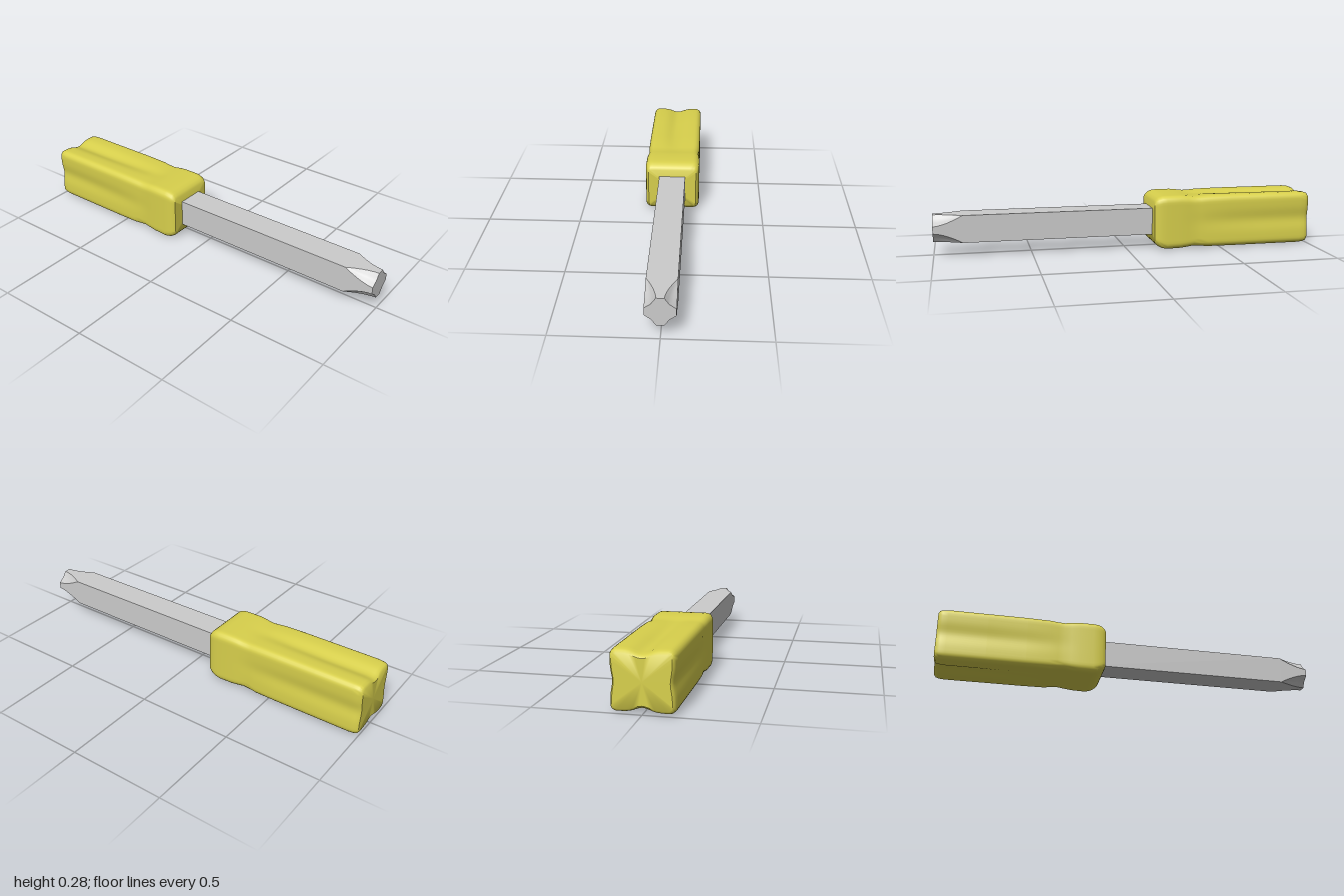
import * as THREE from 'three';
import { toCreasedNormals } from 'three/addons/utils/BufferGeometryUtils.js';

const AXIS_Y = 0.143; // height of the tool's long axis

// Skins a list of { z, pts } cross-sections (counter-clockwise seen from +z) and caps both ends
function loft(sections, crease) {
  const n = sections[0].pts.length;
  const position = [];
  const index = [];
  sections.forEach(({ z, pts }) => pts.forEach((p) => position.push(p.x, p.y, z)));
  for (let i = 0; i < sections.length - 1; i++) {
    for (let j = 0; j < n; j++) {
      const k = (j + 1) % n;
      const a = i * n + j, b = i * n + k, c = a + n, d = b + n;
      index.push(a, b, d, a, d, c);
    }
  }
  [0, sections.length - 1].forEach((s) => {
    const centre = position.length / 3;
    position.push(0, AXIS_Y, sections[s].z);
    for (let j = 0; j < n; j++) {
      const a = s * n + j, b = s * n + ((j + 1) % n);
      if (s === 0) index.push(centre, b, a);
      else index.push(centre, a, b);
    }
  });
  const geometry = new THREE.BufferGeometry();
  geometry.setAttribute('position', new THREE.Float32BufferAttribute(position, 3));
  geometry.setIndex(index);
  return toCreasedNormals(geometry, crease);
}

// Rounded rectangle whose four sides dip inward along their middles
function gripSection(w, lo, hi, r, groove) {
  const pts = [];
  const cy = (lo + hi) / 2;
  const h = (hi - lo) / 2;
  const dip = (t) => groove * Math.exp(-((t / 0.045) ** 2));
  for (let side = 0; side < 4; side++) {
    const angle = (side * Math.PI) / 2;
    const nx = Math.round(Math.cos(angle)), ny = Math.round(Math.sin(angle));
    const out = nx ? w : h;
    const along = (nx ? h : w) - r;
    const depth = nx ? 0.5 : 1; // side grooves are shallower
    for (let i = 0; i <= 16; i++) {
      const t = along * (i / 8 - 1);
      const o = out - depth * dip(t);
      pts.push(new THREE.Vector2(nx * o - ny * t, cy + ny * o + nx * t));
    }
    // rounded corner following this side
    for (let i = 1; i < 5; i++) {
      const a = angle + (i / 5) * (Math.PI / 2);
      const sx = Math.sign(nx - ny), sy = Math.sign(nx + ny);
      pts.push(new THREE.Vector2(
        sx * (w - r) + r * Math.cos(a),
        cy + sy * (h - r) + r * Math.sin(a)));
    }
  }
  return pts;
}

// Square with hollowed corners: arm is the half width left on each side, inner the corner depth
function crossSection(arm, inner, half = 0.071) {
  const quarter = [[half, -arm], [half, 0], [half, arm],
    [(half * 0.4 + inner * 0.6), (arm * 0.4 + inner * 0.6)],
    [inner, inner],
    [(arm * 0.4 + inner * 0.6), (half * 0.4 + inner * 0.6)]];
  const pts = [];
  for (let side = 0; side < 4; side++) {
    const c = Math.round(Math.cos((side * Math.PI) / 2));
    const s = Math.round(Math.sin((side * Math.PI) / 2));
    quarter.forEach(([x, y]) => pts.push(new THREE.Vector2(x * c - y * s, AXIS_Y + x * s + y * c)));
  }
  return pts;
}

export function createModel() {
  const model = new THREE.Group();
  model.name = 'screwdriver';

  // Handle: z, half width, bottom, top, corner radius, groove depth
  const profile = [
    [-1.0, 0.132, 0.022, 0.264, 0.022, 0.018],
    [-0.992, 0.14, 0.011, 0.275, 0.026, 0.02],
    [-0.978, 0.144, 0.006, 0.28, 0.03, 0.021],
    [-0.95, 0.146, 0.003, 0.283, 0.032, 0.021],
    [-0.75, 0.146, 0.003, 0.283, 0.032, 0.02],
    [-0.55, 0.146, 0.003, 0.283, 0.032, 0.015],
    [-0.43, 0.145, 0.004, 0.281, 0.032, 0.008],
    [-0.39, 0.142, 0.008, 0.278, 0.032, 0.005],
    [-0.355, 0.141, 0.01, 0.277, 0.032, 0.003],
    [-0.32, 0.144, 0.006, 0.281, 0.032, 0.001],
    [-0.28, 0.147, 0.002, 0.285, 0.033, 0],
    [-0.205, 0.148, 0, 0.285, 0.034, 0],
    [-0.18, 0.147, 0.006, 0.283, 0.034, 0],
    [-0.16, 0.143, 0.017, 0.276, 0.032, 0],
    [-0.147, 0.137, 0.03, 0.264, 0.025, 0],
    [-0.14, 0.13, 0.04, 0.252, 0.015, 0],
  ];
  const handle = new THREE.Mesh(
    loft(profile.map(([z, ...rest]) => ({ z, pts: gripSection(...rest) })), 0.7),
    new THREE.MeshStandardMaterial({ color: 0xd8d04c }));
  handle.name = 'handle';
  model.add(handle);

  // Square shaft, embedded slightly in the handle
  const metal = new THREE.MeshStandardMaterial({ color: 0xcccccc });
  const shaft = new THREE.Mesh(new THREE.BoxGeometry(0.142, 0.142, 1.05), metal);
  shaft.name = 'shaft';
  shaft.position.set(0, AXIS_Y, 0.325);
  model.add(shaft);

  // Cross tip: corners hollow out quickly, then run almost straight to the end
  const tipSections = [];
  for (let i = 0; i <= 6; i++) {
    const t = i / 6;
    const e = 1 - (1 - t) ** 1.6;
    tipSections.push({
      z: 0.85 + 0.15 * t,
      pts: crossSection(0.071 - 0.053 * e, 0.071 - 0.031 * e),
    });
  }
  const tip = new THREE.Mesh(loft(tipSections, 0.4), metal);
  tip.name = 'crossTip';
  model.add(tip);

  return model;
}
